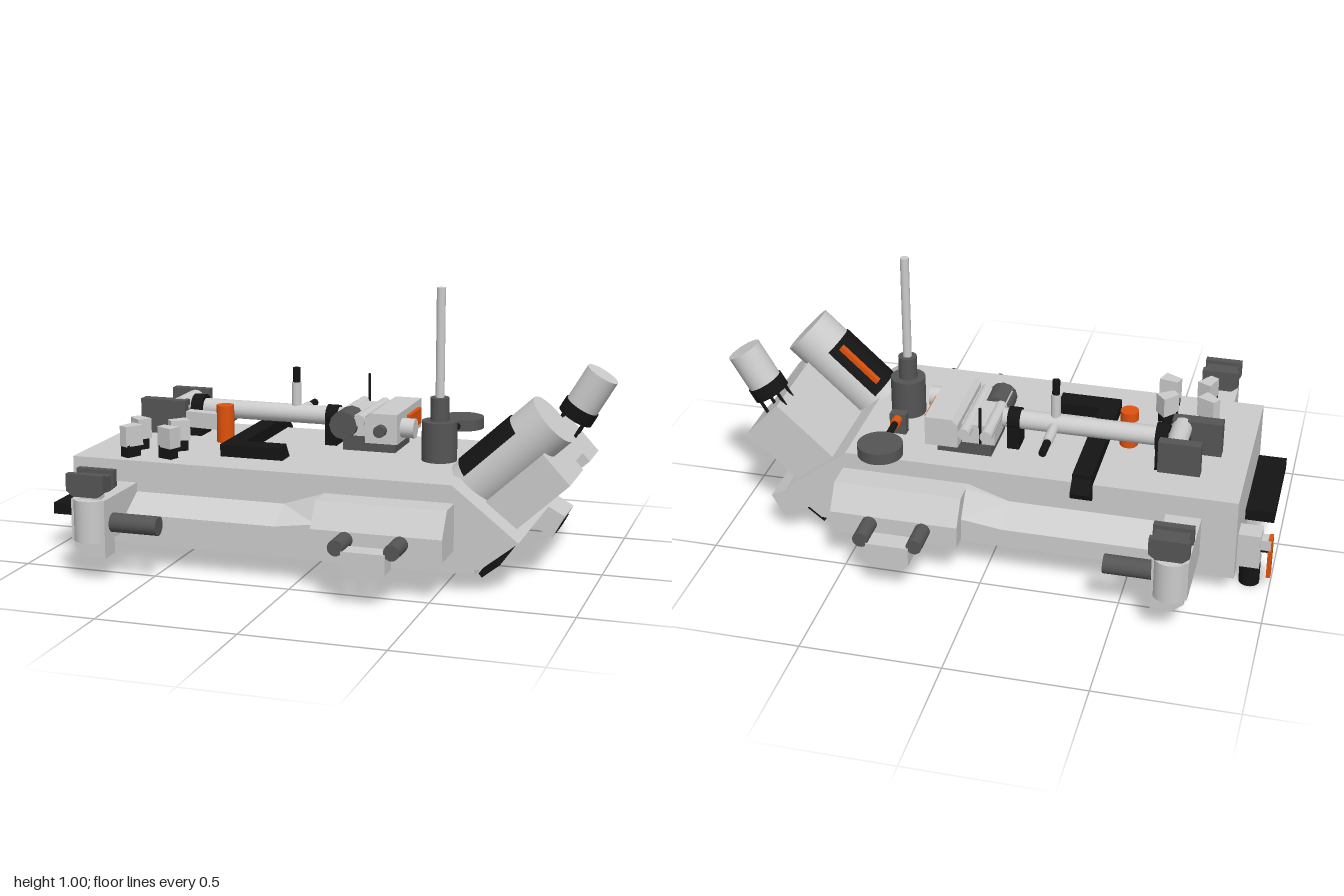
import * as THREE from 'three';

const mat = (color) => new THREE.MeshStandardMaterial({ color, flatShading: false });
const GREY = mat(0xcccccc), DARK = mat(0x555555), BLACK = mat(0x141414), ORANGE = mat(0xe0520e);

function add(parent, name, geometry, material) {
  const mesh = new THREE.Mesh(geometry, material);
  mesh.name = name;
  parent.add(mesh);
  return mesh;
}

// Box given by its limits on each axis
function box(parent, name, [x0, x1], [y0, y1], [z0, z1], material = GREY) {
  const mesh = add(parent, name, new THREE.BoxGeometry(x1 - x0, y1 - y0, z1 - z0), material);
  mesh.position.set((x0 + x1) / 2, (y0 + y1) / 2, (z0 + z1) / 2);
  return mesh;
}

// Cylinder between two points
function rod(parent, name, from, to, radius, material = GREY, sides = 24, endRadius = radius) {
  const a = new THREE.Vector3(...from), b = new THREE.Vector3(...to);
  const dir = b.clone().sub(a);
  const mesh = add(parent, name, new THREE.CylinderGeometry(endRadius, radius, dir.length(), sides), material);
  mesh.position.copy(a).add(b).multiplyScalar(0.5);
  mesh.quaternion.setFromUnitVectors(new THREE.Vector3(0, 1, 0), dir.normalize());
  return mesh;
}

// Outline in x and y, extruded from z0 to z1
function slab(parent, name, points, z0, z1, material = GREY) {
  const shape = new THREE.Shape(points.map((p) => new THREE.Vector2(...p)));
  const mesh = add(parent, name, new THREE.ExtrudeGeometry(shape, { depth: z1 - z0, bevelEnabled: false }), material);
  mesh.position.z = z0;
  return mesh;
}

// Loft through same-length rings of [x, y, z], with end caps
function loft(parent, name, rings, material = GREY) {
  const v = [], n = rings[0].length;
  const tri = (a, b, c) => v.push(...a, ...b, ...c);
  for (let r = 0; r < rings.length - 1; r++) {
    for (let i = 0; i < n; i++) {
      const j = (i + 1) % n, p = rings[r], q = rings[r + 1];
      tri(p[i], p[j], q[j]);
      tri(p[i], q[j], q[i]);
    }
  }
  const last = rings[rings.length - 1];
  for (let i = 1; i < n - 1; i++) {
    tri(rings[0][0], rings[0][i + 1], rings[0][i]);
    tri(last[0], last[i], last[i + 1]);
  }
  const g = new THREE.BufferGeometry();
  g.setAttribute('position', new THREE.Float32BufferAttribute(v, 3));
  g.computeVertexNormals();
  const m = material.clone();
  m.side = THREE.DoubleSide;
  return add(parent, name, g, m);
}

function hull(root) {
  slab(root, 'hull', [[-0.88, 0.085], [0.638, 0.085], [0.77, 0.19], [0.535, 0.375], [-0.88, 0.375]], -0.35, 0.35);
  // Bottom rim around a recessed panel
  const rim = new THREE.Shape([[-0.88, -0.35], [0.62, -0.35], [0.62, 0.35], [-0.88, 0.35]].map((p) => new THREE.Vector2(...p)));
  rim.holes.push(new THREE.Path([[-0.78, -0.23], [-0.78, 0.23], [0.4, 0.23], [0.4, -0.23]].map((p) => new THREE.Vector2(...p))));
  const g = new THREE.ExtrudeGeometry(rim, { depth: 0.02, bevelEnabled: false }).rotateX(Math.PI / 2);
  add(root, 'bottomRim', g, GREY).position.y = 0.085;
  const bar = box(root, 'noseBar', [-0.04, 0.04], [-0.012, 0.006], [-0.325, 0.325], BLACK);
  bar.position.set(0.665, 0.083, 0);
  bar.rotation.z = 0.67;
  // Socket on the nose
  const socket = new THREE.Group();
  socket.name = 'noseSocket';
  socket.position.set(0.765, 0.13, -0.265);
  socket.rotation.z = -0.5;
  root.add(socket);
  box(socket, 'socketHousing', [-0.09, 0.045], [-0.045, 0.05], [-0.085, 0.085]);
  box(socket, 'socketOpening', [0.04, 0.048], [-0.03, 0.02], [-0.06, 0.06], BLACK);
}

function side(root, s) {
  const z = (a, b) => (s > 0 ? [a, b] : [-b, -a]);
  // Sloped flange rising into a wide pod
  const ring = (x, top, mid, inner, outer) =>
    [[x, 0.145, 0.34 * s], [x, top, 0.34 * s], [x, top, inner * s], [x, mid, outer * s], [x, 0.145, outer * s]];
  loft(root, 'sideFlange', [ring(-0.64, 0.262, 0.205, 0.35, 0.45), ring(-0.07, 0.262, 0.205, 0.35, 0.45), ring(0.08, 0.312, 0.225, 0.38, 0.45)]);
  loft(root, 'sidePod', [ring(0.08, 0.312, 0.225, 0.45, 0.51), ring(0.545, 0.312, 0.225, 0.45, 0.51)]);
  // Handle on the pod
  for (const x of [0.205, 0.4]) rod(root, 'handlePost', [x, 0.198, 0.5 * s], [x, 0.198, 0.62 * s], 0.028, DARK);
  slab(root, 'handleGrip', [[0.245, 0.1], [0.36, 0.1], [0.38, 0.12], [0.38, 0.19], [0.225, 0.19], [0.225, 0.12]], ...z(0.55, 0.625));
  // Corner arm with clamp
  box(root, 'cornerArm', [-0.755, -0.63], [0.145, 0.295], z(0.34, 0.63));
  rod(root, 'cornerArmEnd', [-0.692, 0.145, 0.6 * s], [-0.692, 0.295, 0.6 * s], 0.0615);
  slab(root, 'cornerFoot', [[-0.7, 0.088], [-0.63, 0.088], [-0.63, 0.146], [-0.745, 0.146], [-0.745, 0.125]], ...z(0.55, 0.63));
  rod(root, 'sideRoller', [-0.63, 0.203, 0.563 * s], [-0.455, 0.203, 0.563 * s], 0.034, DARK);
  box(root, 'clampNeck', [-0.73, -0.65], [0.29, 0.34], z(0.58, 0.62));
  box(root, 'clampWeb', [-0.75, -0.63], [0.325, 0.375], z(0.56, 0.64), DARK);
  for (const a of [0.542, 0.63]) {
    slab(root, 'clampFlange', [[-0.735, 0.31], [-0.645, 0.31], [-0.62, 0.33], [-0.62, 0.39], [-0.76, 0.39], [-0.76, 0.33]], ...z(a, a + 0.027), DARK);
  }
}

function tiltedHead(root) {
  const head = new THREE.Group();
  head.name = 'tiltedHead';
  head.position.set(0.55, 0.28, 0);
  head.rotation.z = 0.745;
  root.add(head);
  box(head, 'headRight', [0, 0.34], [-0.18, 0], [-0.31, -0.13]);
  box(head, 'headMiddle', [0, 0.34], [-0.14, 0], [-0.13, 0.03]);
  box(head, 'headLeft', [0, 0.34], [-0.18, -0.04], [0, 0.25]);
  // Canister with wrap and stripe
  rod(head, 'canister', [0.035, 0.027, 0.15], [0.42, 0.027, 0.15], 0.1, GREY, 40);
  const wrap = add(head, 'canisterWrap', new THREE.CylinderGeometry(0.105, 0.105, 0.24, 30, 1, false, Math.PI * 1.5 - 1.1, 2.2), BLACK);
  wrap.rotation.z = -Math.PI / 2;
  wrap.position.set(0.19, 0.027, 0.15);
  box(head, 'canisterStripe', [0.1, 0.29], [0.105, 0.122], [0.075, 0.098], ORANGE);
  // Small capped cylinder on legs
  const cap = new THREE.Group();
  cap.name = 'smallCylinder';
  cap.position.set(0.944, 0.68, -0.228);
  cap.rotation.z = -0.535;
  root.add(cap);
  rod(cap, 'smallBarrel', [0, -0.15, 0], [0, 0, 0], 0.0625, GREY, 32);
  rod(cap, 'smallCollar', [0, -0.19, 0], [0, -0.14, 0], 0.067, BLACK, 32);
  for (const [x, z] of [[0.04, 0.035], [-0.04, 0.035], [0.04, -0.035], [-0.04, -0.035]])
    rod(cap, 'smallLeg', [x, -0.28, z], [x, -0.18, z], 0.006, BLACK, 8);
}

function deck(root) {
  // Mast
  rod(root, 'mastBase', [0.4, 0.375, 0], [0.4, 0.52, 0], 0.064, DARK);
  rod(root, 'mastSocket', [0.4, 0.52, 0], [0.4, 0.605, 0], 0.034, DARK);
  rod(root, 'mast', [0.4, 0.6, 0], [0.4, 1, 0], 0.016);
  // Round knob on an arm
  rod(root, 'knob', [0.39, 0.415, -0.385], [0.39, 0.457, -0.385], 0.081, DARK, 32);
  rod(root, 'knobArm', [0.39, 0.435, -0.32], [0.39, 0.435, -0.16], 0.012, BLACK);
  rod(root, 'knobRing', [0.39, 0.435, -0.21], [0.39, 0.435, -0.17], 0.018, ORANGE);
  box(root, 'knobMount', [0.36, 0.42], [0.375, 0.455], [-0.175, -0.14], DARK);
  // Angled strip bent over the right edge
  box(root, 'stripLong', [-0.37, -0.3], [0.37, 0.42], [-0.37, 0.19], BLACK);
  slab(root, 'stripFoot', [[-0.37, 0.37], [-0.13, 0.37], [-0.145, 0.42], [-0.35, 0.42]], 0.11, 0.19, BLACK);
  const fold = slab(root, 'stripFold', [[0.33, 0.42], [0.365, 0.41], [0.412, 0.365], [0.405, 0.345], [0.36, 0.315], [0.34, 0.32]], 0, 0.07, BLACK);
  fold.rotation.y = Math.PI / 2;
  fold.position.x = -0.37;
  // Long tube with collars
  rod(root, 'longTube', [-0.6, 0.48, -0.14], [0.02, 0.48, -0.14], 0.035);
  rod(root, 'tubeCollar', [-0.6, 0.48, -0.14], [-0.555, 0.48, -0.14], 0.05, BLACK);
  rod(root, 'tubeCollar', [-0.065, 0.48, -0.14], [-0.02, 0.48, -0.14], 0.042, BLACK);
  box(root, 'tubeSupport', [-0.065, -0.02], [0.375, 0.46], [-0.18, -0.1], BLACK);
  rod(root, 'uprightPin', [-0.19, 0.5, -0.14], [-0.19, 0.6, -0.14], 0.018);
  rod(root, 'uprightTip', [-0.19, 0.6, -0.14], [-0.19, 0.655, -0.14], 0.014, BLACK);
  rod(root, 'sidePin', [-0.19, 0.48, -0.28], [-0.19, 0.48, -0.16], 0.018);
  rod(root, 'sideTip', [-0.19, 0.48, -0.355], [-0.19, 0.48, -0.28], 0.014, BLACK);
  // Gear block at the tube end
  box(root, 'gearBlock', [0, 0.12], [0.44, 0.515], [-0.28, -0.01]);
  for (const x of [0.02, 0.1]) rod(root, 'gearRoller', [x, 0.5, -0.33], [x, 0.5, 0.01], 0.022);
  rod(root, 'gearAxle', [0.04, 0.48, -0.1], [0.04, 0.48, 0.015], 0.052, DARK, 12);
  slab(root, 'gearHousing', [[0.13, 0.425], [0.25, 0.425], [0.25, 0.535], [0.15, 0.535], [0.13, 0.515]], -0.3, 0.03);
  box(root, 'gearStand', [0.02, 0.22], [0.375, 0.45], [-0.25, -0.05], DARK);
  box(root, 'gearInsert', [0.25, 0.265], [0.45, 0.51], [-0.25, -0.1], ORANGE);
  rod(root, 'gearNozzle', [0.25, 0.475, -0.04], [0.3, 0.475, -0.04], 0.036);
  rod(root, 'gearPin', [0.19, 0.475, 0.03], [0.19, 0.475, 0.06], 0.022, DARK);
  rod(root, 'antenna', [0.04, 0.47, -0.325], [0.04, 0.612, -0.325], 0.005, BLACK, 8);
  // Upright bottle with its strap
  rod(root, 'bottle', [-0.44, 0.375, -0.045], [-0.44, 0.515, -0.045], 0.033, ORANGE);
  const strap = box(root, 'bottleStrap', [-0.09, 0.08], [-0.03, 0.03], [-0.022, 0.022]);
  strap.position.set(-0.54, 0.45, -0.06);
  strap.rotation.y = -0.12;
  // Left mount
  rod(root, 'mountRoller', [-0.635, 0.49, -0.25], [-0.635, 0.49, -0.07], 0.036);
  box(root, 'mountPlate', [-0.73, -0.58], [0.41, 0.53], [-0.268, -0.23], DARK);
  box(root, 'mountPlate', [-0.78, -0.6], [0.39, 0.52], [-0.085, -0.038], DARK);
  box(root, 'mountStand', [-0.67, -0.56], [0.375, 0.47], [-0.2, -0.1], BLACK);
  // Spring clips
  for (const [x, z, turn] of [[-0.7, 0.155, -0.6], [-0.55, 0.145, 0.7], [-0.68, 0.285, 1.1], [-0.54, 0.27, -0.35]]) {
    const clip = new THREE.Group();
    clip.name = 'clip';
    clip.position.set(x, 0.375, z);
    clip.rotation.y = turn;
    root.add(clip);
    box(clip, 'clipBase', [-0.03, 0.03], [0, 0.045], [-0.02, 0.02], BLACK);
    const jaws = [[-0.035, -0.018], [0.035, -0.028], [0.035, 0.028], [-0.035, 0.018]];
    loft(clip, 'clipJaw', [0.04, 0.115].map((y) => jaws.map(([a, b]) => [a, y, b])));
  }
}

function rearEnd(root) {
  box(root, 'endStep', [-0.985, -0.87], [0.14, 0.182], [-0.08, 0.31], BLACK);
  rod(root, 'pegTip', [-0.925, 0, -0.255], [-0.925, 0.085, -0.255], 0.037, BLACK);
  box(root, 'pegBody', [-0.96, -0.87], [0.08, 0.212], [-0.292, -0.218]);
  box(root, 'pegBand', [-0.985, -0.885], [0.14, 0.18], [-0.275, -0.235], BLACK);
  box(root, 'pegBracket', [-0.995, -0.95], [0.15, 0.19], [-0.278, -0.232]);
  box(root, 'pegStripe', [-1, -0.985], [0.035, 0.195], [-0.275, -0.235], ORANGE);
}

export function createModel() {
  const root = new THREE.Group();
  root.name = 'equipmentPlatform';
  hull(root);
  for (const s of [1, -1]) side(root, s);
  tiltedHead(root);
  deck(root);
  rearEnd(root);
  return root;
}
